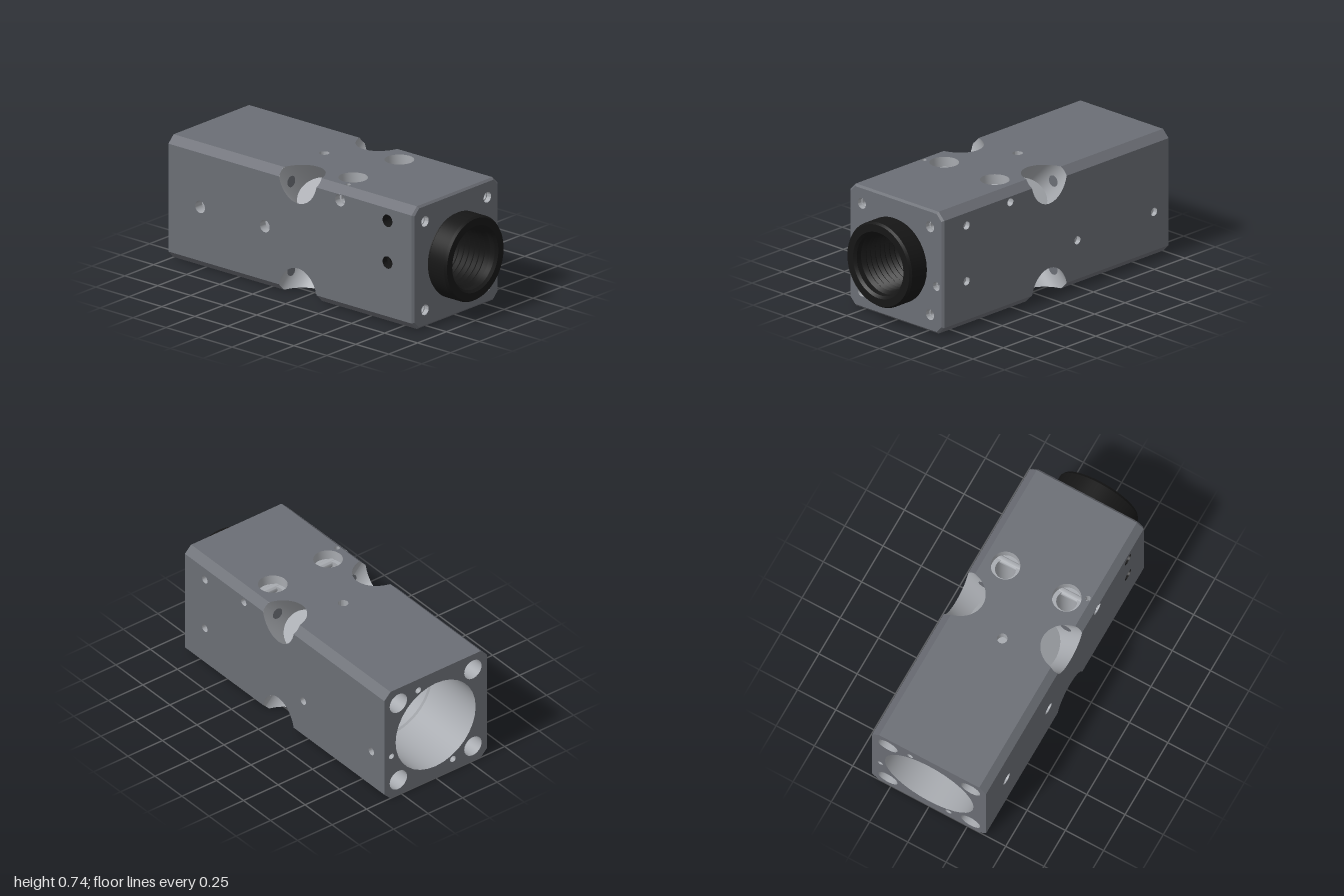
import * as THREE from 'three';
import { toCreasedNormals } from 'three/addons/utils/BufferGeometryUtils.js';

const H = 0.372, C = 0.045, BACK = -1, FRONT = 0.855, BEVEL = 0.012; // half size, corner chamfer, ends
const XC = -0.02, A = 0.147, B = 0.124, FLOOR = 0.267;               // corner pocket: centre, half axes, floor
const W = C / Math.SQRT2, TOP = (2 * H - C) / Math.SQRT2;            // chamfer half width and distance
const SEG = 32;

const paint = (color) => new THREE.MeshStandardMaterial({ color, side: THREE.DoubleSide });

export function createModel() {
  const model = new THREE.Group();
  const body = new THREE.Group();
  body.name = 'body';
  body.position.y = H;
  model.add(body);
  const shell = paint(0x6b6e75), bare = paint(0xa8abb0), black = paint(0x161616);

  function add(parent, name, geometry, material) {
    const mesh = new THREE.Mesh(geometry, material);
    mesh.name = name;
    parent.add(mesh);
    return mesh;
  }
  const polygon = (pts) => new THREE.Shape(pts.map((p) => new THREE.Vector2(p[0], p[1])));
  const lathe = (pts, seg = SEG) => toCreasedNormals(
    new THREE.LatheGeometry(pts.map((p) => new THREE.Vector2(p[0], p[1])), seg), 0.5);

  // flat face with drilled holes: [x, y, radius, depth, inner radius, inner depth, inner material]
  function face(name, shape, dist, rotation, holes, material = shell) {
    const g = new THREE.Group();
    g.name = name;
    g.rotation.set(...rotation);
    body.add(g);
    for (const [x, y, r, depth, r2, depth2, core] of holes) {
      const path = new THREE.Path();
      path.absarc(x, y, r, 0, Math.PI * 2, true);
      shape.holes.push(path);
      if (!depth) continue;
      const pts = [[r, 0], [r, -depth]];
      if (r2) pts.push([r2, -depth], [r2, -depth2]);
      if (!r2 || depth2 < 0.3) pts.push([0, -(r2 ? depth2 : depth)]);
      const hole = add(g, 'drilledHole', lathe(pts).rotateX(Math.PI / 2), core || bare);
      hole.position.set(x, y, dist);
    }
    const mesh = add(g, name + 'Surface', new THREE.ShapeGeometry(shape, SEG / 2), material);
    mesh.position.z = dist;
  }

  // long side outline, cut by a pocket at both edges
  function sideShape() {
    const x1 = FRONT - BEVEL, v = H - C, start = Math.asin(W / B), upper = [];
    for (let i = 0; i <= 24; i++) {
      const a = start + (Math.PI - 2 * start) * i / 24;
      upper.push([XC + A * Math.cos(a), H - Math.SQRT2 * B * Math.sin(a)]);
    }
    const lower = upper.map(([x, y]) => [x, -y]).reverse();
    return polygon([[BACK, -v], ...lower, [x1, -v], [x1, v], ...upper, [BACK, v]]);
  }

  const Q = Math.PI / 2;
  face('frontSide', sideShape(), H, [0, 0, 0], [
    [-0.76, 0, 0.037, 0.06],
    [-0.27, 0, 0.037, 0.05, 0.014, 0.075],
    [0.66, 0, 0.037, 0.04, 0.017, 0.09, black],
    [0.66, 0.253, 0.037, 0.1, 0, 0, black],
    [0.3, 0.293, 0.037, 0.04, 0.024, 2 * H],
  ]);
  face('topSide', sideShape(), H, [-Q, 0, 0], [
    [0.25, 0.2, 0.085, 0.06, 0.06, 2 * H],
    [0.25, -0.2, 0.085, 0.06, 0.06, 2 * H],
    [-0.145, 0, 0.03, 0.06],
    [0.305, -0.308, 0.016, 0.01, 0.0155, 2 * H],
  ]);
  face('backSide', sideShape(), H, [2 * Q, 0, 0], [
    [0.66, -0.25, 0.025, 0.03],
    [0.3, -0.293, 0.024, 0],
    [0.66, 0.09, 0.025, 0.028],
    [-0.25, 0.09, 0.025, 0.028],
    [-0.88, 0.09, 0.025, 0.028],
  ]);
  face('bottomSide', sideShape(), H, [Q, 0, 0], [
    [0.25, 0.2, 0.06, 0], [0.25, -0.2, 0.06, 0], [0.305, 0.308, 0.016, 0],
  ]);

  // ends
  const octagon = (h, c) => [[h, c - h], [h, h - c], [h - c, h], [c - h, h],
    [-h, h - c], [-h, c - h], [c - h, -h], [h - c, -h]];
  const corners = (...hole) => [[1, 1], [1, -1], [-1, 1], [-1, -1]].map(
    ([sx, sy]) => [sx * 0.27, sy * 0.268, ...hole]);
  const outer = octagon(H, C), inner = octagon(H - BEVEL, C - BEVEL * 0.58);
  face('noseEnd', polygon(inner), FRONT, [0, Q, 0], [
    ...corners(0.032, 0.03, 0.025, 0.12),
    [0.32, -0.082, 0.027, 0.03, 0.018, FRONT - BACK],
    [0, 0, 0.22, 0],
  ]);
  face('openEnd', polygon(octagon(H, C)), -BACK, [0, -Q, 0], [
    ...corners(0.063, 0.2, 0.035, 0.29),
    [-0.125, 0.295, 0.02, 0.08],
    [0.125, -0.295, 0.02, 0.08],
    [-0.32, -0.082, 0.018, 0],
    [0, 0, 0.29, 0],
  ]);

  // small bevel round the nose end
  const bevel = [];
  outer.forEach((p, i) => {
    const j = (i + 1) % 8;
    const a = [FRONT - BEVEL, p[1], -p[0]], b = [FRONT - BEVEL, outer[j][1], -outer[j][0]];
    const c = [FRONT, inner[j][1], -inner[j][0]], d = [FRONT, inner[i][1], -inner[i][0]];
    bevel.push(...a, ...b, ...c, ...a, ...c, ...d);
  });
  const bevelGeo = new THREE.BufferGeometry();
  bevelGeo.setAttribute('position', new THREE.Float32BufferAttribute(bevel, 3));
  bevelGeo.computeVertexNormals();
  add(body, 'endBevel', bevelGeo, shell);

  // pocket wall: runs from the floor up to the block's surface
  function pocketWall() {
    const pos = [], idx = [], n = 64;
    for (let i = 0; i <= n; i++) {
      const a = i / n * Math.PI * 2, u = B * Math.sin(a), x = A * Math.cos(a);
      pos.push(x, u, FLOOR, x, u, Math.min(TOP, H * Math.SQRT2 - Math.abs(u)));
      const k = 2 * i;
      if (i < n) idx.push(k, k + 1, k + 2, k + 2, k + 1, k + 3);
    }
    const g = new THREE.BufferGeometry();
    g.setAttribute('position', new THREE.Float32BufferAttribute(pos, 3));
    g.setIndex(idx);
    g.computeVertexNormals();
    return g;
  }

  // four long corners: chamfer strips and a round pocket with a flat floor
  for (let k = 0; k < 4; k++) {
    const g = new THREE.Group();
    g.name = 'corner';
    g.rotation.x = -Q / 2 - k * Q;
    body.add(g);
    for (const [s, end] of [[-1, BACK], [1, FRONT - BEVEL]]) {
      const pts = [[end, W], [end, -W]];
      for (let i = 0; i <= 6; i++) {
        const u = -W + 2 * W * i / 6;
        pts.push([XC + s * A * Math.sqrt(1 - (u / B) ** 2), u]);
      }
      add(g, 'chamfer', new THREE.ShapeGeometry(polygon(pts)), shell).position.z = TOP;
      // screw passage showing in the pocket wall
      const hole = add(g, 'screwPassage', new THREE.CircleGeometry(0.034, 24).rotateY(-s * Q), shell);
      hole.position.set(XC + s * (A - 0.008), 0, 0.38);
    }
    add(g, 'pocketWall', pocketWall(), bare).position.x = XC;
    const floor = add(g, 'pocketFloor', new THREE.CircleGeometry(1, 64), bare);
    floor.scale.set(A, B, 1);
    floor.position.set(XC, 0, FLOOR);
  }

  // stepped main bore
  add(body, 'mainBore', lathe([[0.29, BACK], [0.29, -0.6], [0.28, -0.59], [0.28, -0.3],
    [0.25, -0.3], [0.25, 0.15]], 64).rotateZ(-Q), bare);

  // black threaded nose and its inner barrel
  const nose = [[0.25, 0.15], [0.13, 0.15], [0.13, 0.66], [0.165, 0.66]];
  for (let i = 0; i < 7; i++) nose.push([0.183, 0.68 + i * 0.038], [0.168, 0.699 + i * 0.038]);
  nose.push([0.185, 0.95], [0.185, 0.985], [0.2, 1], [0.245, 1], [0.255, 0.985],
    [0.255, 0.872], [0.245, 0.862], [0.245, 0.855]);
  add(body, 'threadedNose', lathe(nose, 64).rotateZ(-Q), black);

  return model;
}
